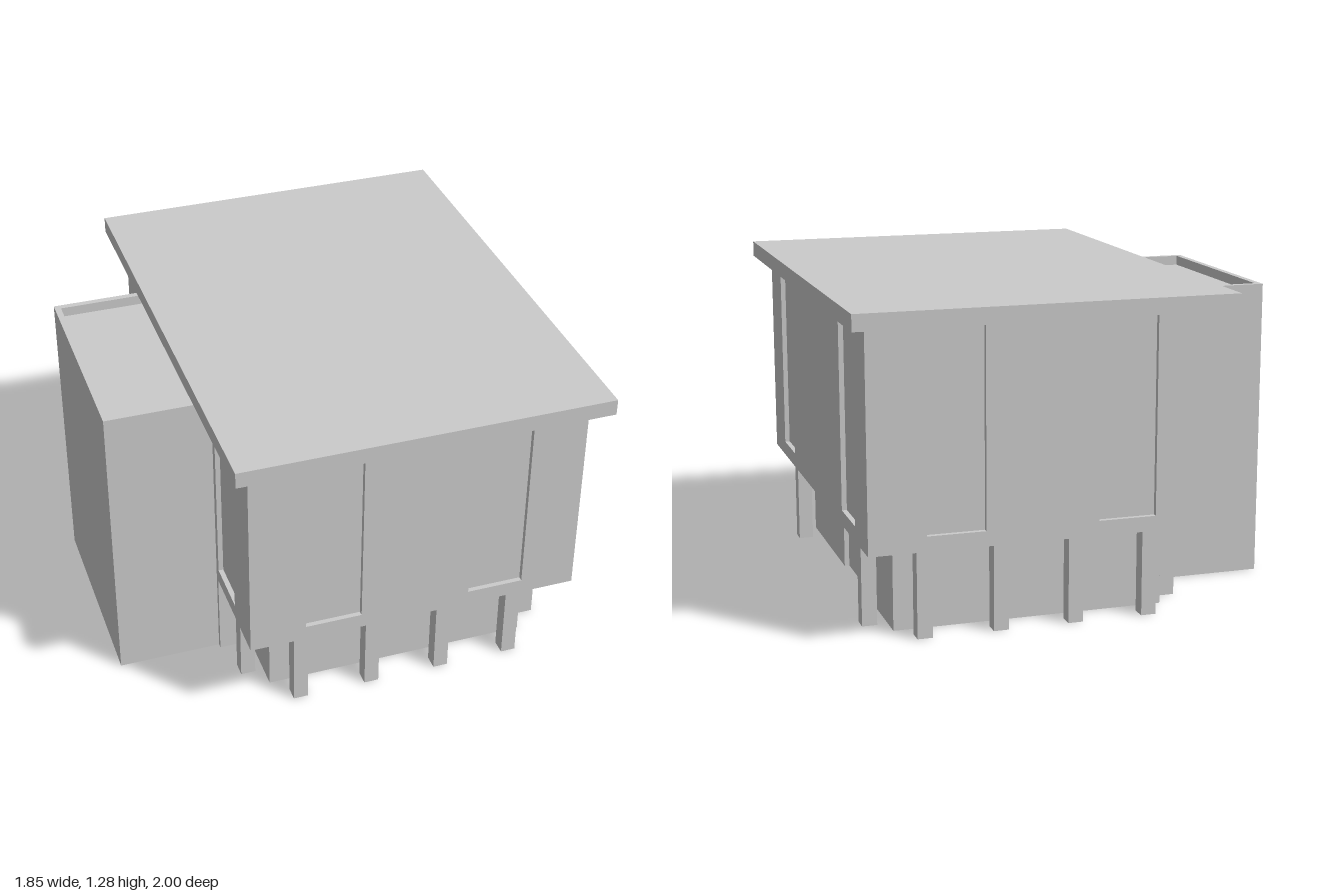
import * as THREE from 'three';

const material = new THREE.MeshStandardMaterial({ color: 0xcccccc, side: THREE.DoubleSide, flatShading: true });
const INSET = 0.02;

// Heights
const FLOOR = 0.36, SILL = 0.42, EAVES = 1.22, DOOR_TOP = 0.26;

function add(group, name, geometry, x = 0, y = 0, z = 0) {
  const mesh = new THREE.Mesh(geometry, material);
  mesh.name = name;
  mesh.position.set(x, y, z);
  group.add(mesh);
}

// Vertical wall following a plan path of [x, z] points
function wall(path, y0, y1) {
  const pos = [];
  for (let i = 0; i + 1 < path.length; i++) {
    const [ax, az] = path[i], [bx, bz] = path[i + 1];
    pos.push(ax, y0, az, ax, y1, az, bx, y1, bz, ax, y0, az, bx, y1, bz, bx, y0, bz);
  }
  const g = new THREE.BufferGeometry();
  g.setAttribute('position', new THREE.Float32BufferAttribute(pos, 3));
  g.computeVertexNormals();
  return g;
}

// Horizontal face with a plan outline of [x, z] points
function slab(outline, up) {
  const s = up ? -1 : 1;
  const shape = new THREE.Shape(outline.map(([x, z]) => new THREE.Vector2(x, s * z)));
  return new THREE.ShapeGeometry(shape).rotateX((s * Math.PI) / 2);
}

// Corners of each recess along a straight wall, spans measured from its start
function recesses(a, b, spans) {
  const len = Math.hypot(b[0] - a[0], b[1] - a[1]);
  const dx = (b[0] - a[0]) / len, dz = (b[1] - a[1]) / len;
  const at = (t, depth) => [a[0] + dx * t - dz * depth, a[1] + dz * t + dx * depth];
  return spans.map(([s, e]) => [at(s, 0), at(s, INSET), at(e, INSET), at(e, 0)]);
}

// Walls along a plan path with recesses between n0 and n1; plain elsewhere
function recessedWalls(group, name, path, spansPerWall, y0, y1, n0, n1) {
  const notchedPath = [path[0]];
  for (let i = 0; i + 1 < path.length; i++) {
    for (const r of recesses(path[i], path[i + 1], spansPerWall[i] || [])) {
      notchedPath.push(...r);
      if (n0 > y0) add(group, name + 'Sill', slab(r, true), 0, n0, 0);
      if (n1 < y1) add(group, name + 'Lintel', slab(r, false), 0, n1, 0);
    }
    notchedPath.push(path[i + 1]);
  }
  add(group, name, wall(notchedPath, n0, n1));
  if (n0 > y0) add(group, name + 'Base', wall(path, y0, n0));
  if (n1 < y1) add(group, name + 'Top', wall(path, n1, y1));
}

export function createModel() {
  const model = new THREE.Group();
  model.name = 'house';

  // Flat overhanging roof
  add(model, 'roof', new THREE.BoxGeometry(1.495, 0.065, 2), 0.1725, 1.2525, 0);

  // Upper storey, open towards the tower, with tall window recesses
  const upper = [[-0.505, -0.44], [-0.505, -0.91], [0.855, -0.91], [0.855, 0.91], [-0.505, 0.91], [-0.505, 0.44]];
  const longSide = [[0.225, 0.455], [0.905, 1.135]];
  recessedWalls(model, 'upperWalls', upper,
    [[[0.03, 0.26]], longSide, [[0.21, 0.44], [1.38, 1.61]], longSide, [[0.21, 0.44]]],
    FLOOR, EAVES, SILL, EAVES);

  // Set-back ground storey with a door recess
  const core = [[-0.505, -0.44], [-0.505, -0.46], [-0.375, -0.46], [-0.375, -0.73], [0.72, -0.73],
    [0.72, 0.73], [-0.375, 0.73], [-0.375, 0.46], [-0.505, 0.46], [-0.505, 0.44]];
  recessedWalls(model, 'groundWalls', core, { 4: [[0.605, 0.855]] }, 0, FLOOR, 0, DOOR_TOP);

  // Underside of the overhang around the ground storey
  add(model, 'overhangSoffit', slab([...upper.slice(1, 5), ...core.slice(1, 9).reverse()], false), 0, FLOOR, 0);

  // Side tower with a sunken top
  const tower = [[-0.505, 0.44], [-0.925, 0.44], [-0.925, -0.44], [-0.505, -0.44]];
  const inner = [[-0.505, -0.415], [-0.9, -0.415], [-0.9, 0.415], [-0.505, 0.415]];
  add(model, 'towerWalls', wall(tower, 0, EAVES));
  add(model, 'towerRim', slab([...tower, ...inner], true), 0, EAVES, 0);
  add(model, 'towerParapet', wall(inner, EAVES - 0.04, EAVES));
  add(model, 'towerTop', slab(inner, true), 0, EAVES - 0.04, 0);

  // Columns under the overhang, mirrored front and back
  const post = new THREE.BoxGeometry(0.06, FLOOR, 0.06);
  for (const side of [1, -1]) {
    for (const x of [-0.28, 0.022, 0.324, 0.626]) add(model, 'column', post, x, FLOOR / 2, side * 0.82);
    for (const x of [-0.44, 0.793]) add(model, 'sideColumn', post, x, FLOOR / 2, side * 0.615);
  }
  return model;
}
